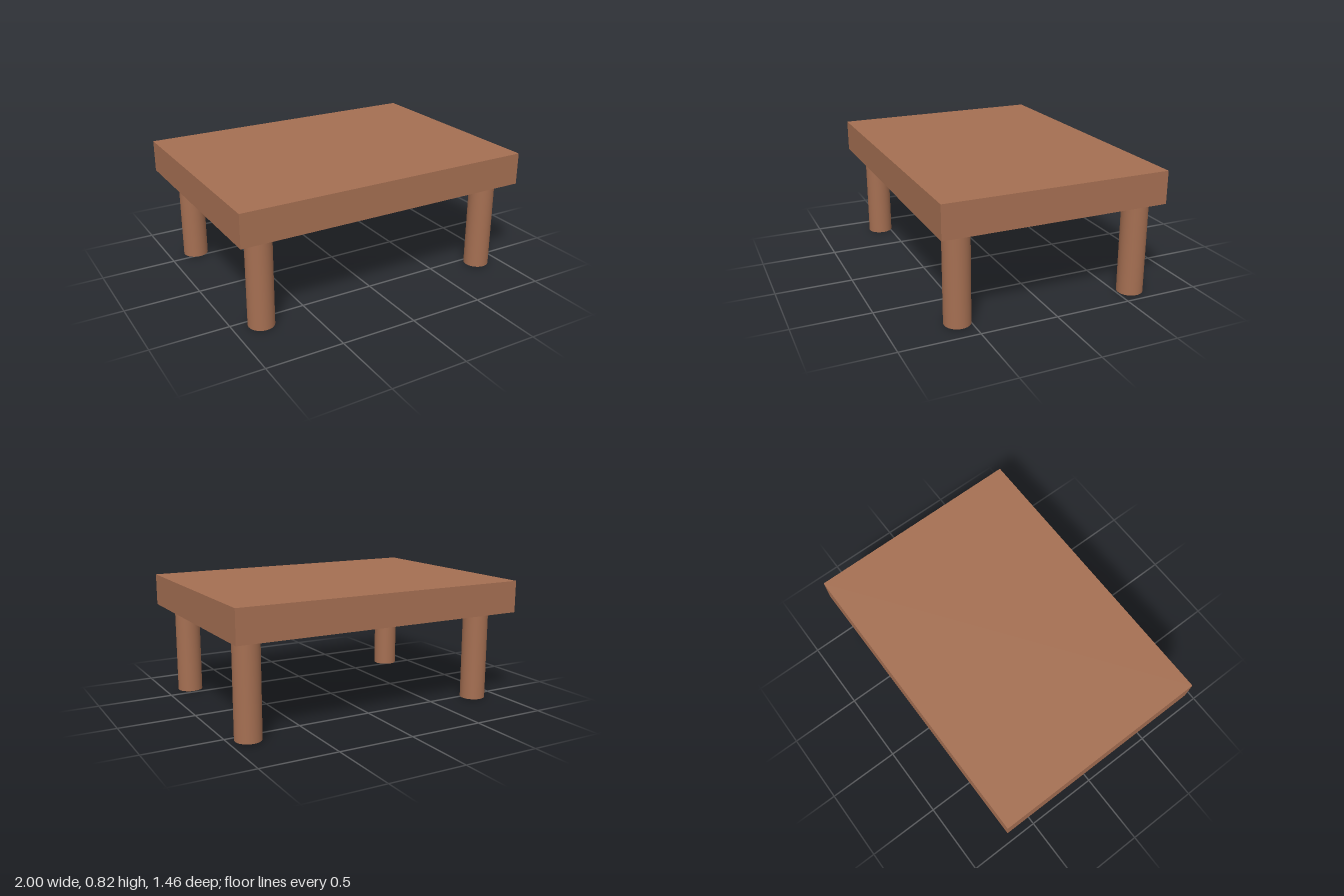
import * as THREE from 'three';

export function createModel() {
  const model = new THREE.Group();
  model.name = 'table';
  const wood = new THREE.MeshStandardMaterial({ color: 0xa56f52 });
  wood.name = 'brown wood';

  // Thick slab top
  const top = new THREE.Mesh(new THREE.BoxGeometry(2, 0.212, 1.46), wood);
  top.name = 'tableTop';
  top.position.y = 0.719;
  model.add(top);

  // Four round legs, set slightly unevenly: name, x, z, height of the foot
  const legGeometry = new THREE.CylinderGeometry(0.084, 0.084, 0.605, 32);
  const legs = [
    ['frontLeftLeg', 0.833, 0.582, 0.008],
    ['frontRightLeg', -0.82, 0.565, 0],
    ['backLeftLeg', 0.881, -0.587, 0.008],
    ['backRightLeg', -0.815, -0.552, 0.008],
  ];
  for (const [name, x, z, foot] of legs) {
    const leg = new THREE.Mesh(legGeometry, wood);
    leg.name = name;
    leg.position.set(x, foot + 0.3025, z);
    model.add(leg);
  }
  return model;
}
